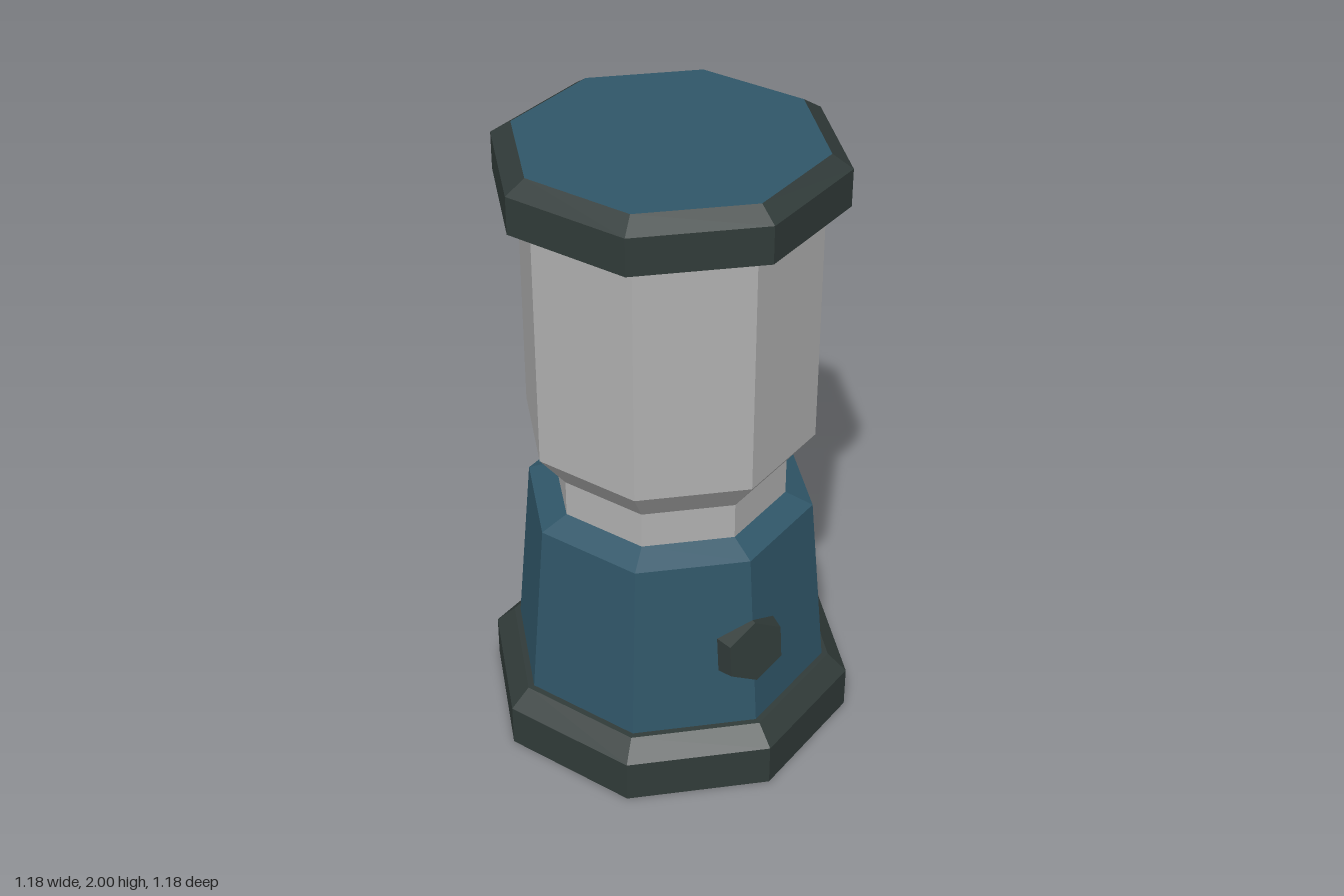
import * as THREE from 'three';

const SIDES = 8;

function mat(name, color) {
  const m = new THREE.MeshStandardMaterial({ color, flatShading: true });
  m.name = name;
  return m;
}

export function createModel() {
  const group = new THREE.Group();
  const blue = mat('blue paint', 0x305668);
  const dark = mat('dark rubber', 0x313b39);
  const grey = mat('grey glass', 0xb0b0b0);

  const add = (name, geometry, material) => {
    const flat = geometry.toNonIndexed();
    flat.computeVertexNormals();
    const mesh = new THREE.Mesh(flat, material);
    mesh.name = name;
    group.add(mesh);
    return mesh;
  };

  // Octagonal part turned from [radius, height] pairs, bottom to top
  const turned = (name, profile, material) =>
    add(name, new THREE.LatheGeometry(profile.map(([r, y]) => new THREE.Vector2(r, y)), SIDES), material);

  // Foot, tapered body with shoulder, glass globe with narrow neck
  turned('foot', [[0, 0], [0.592, 0], [0.592, 0.14], [0.53, 0.2], [0.5, 0.2]], dark);
  turned('body', [[0.51, 0.195], [0.457, 0.79], [0.37, 0.826], [0.35, 0.826]], blue);
  turned('globe', [[0.37, 0.82], [0.37, 0.945], [0.455, 1.055], [0.455, 1.815]], grey);

  // Bevelled cap rim and the flush lid inside it
  turned('capRim', [[0.44, 1.808], [0.46, 1.808], [0.527, 1.843], [0.527, 1.96], [0.465, 2]], dark);
  const lid = add('lid', new THREE.CircleGeometry(0.465, SIDES), blue);
  lid.rotation.x = -Math.PI / 2;
  lid.position.y = 2;

  // Hexagonal knob leaning with the body wall
  const knob = add('knob', new THREE.CylinderGeometry(0.107, 0.122, 0.07, 6), dark);
  knob.rotation.x = Math.PI / 2 - 0.09;
  knob.position.set(0, 0.465, 0.465);

  return group;
}
